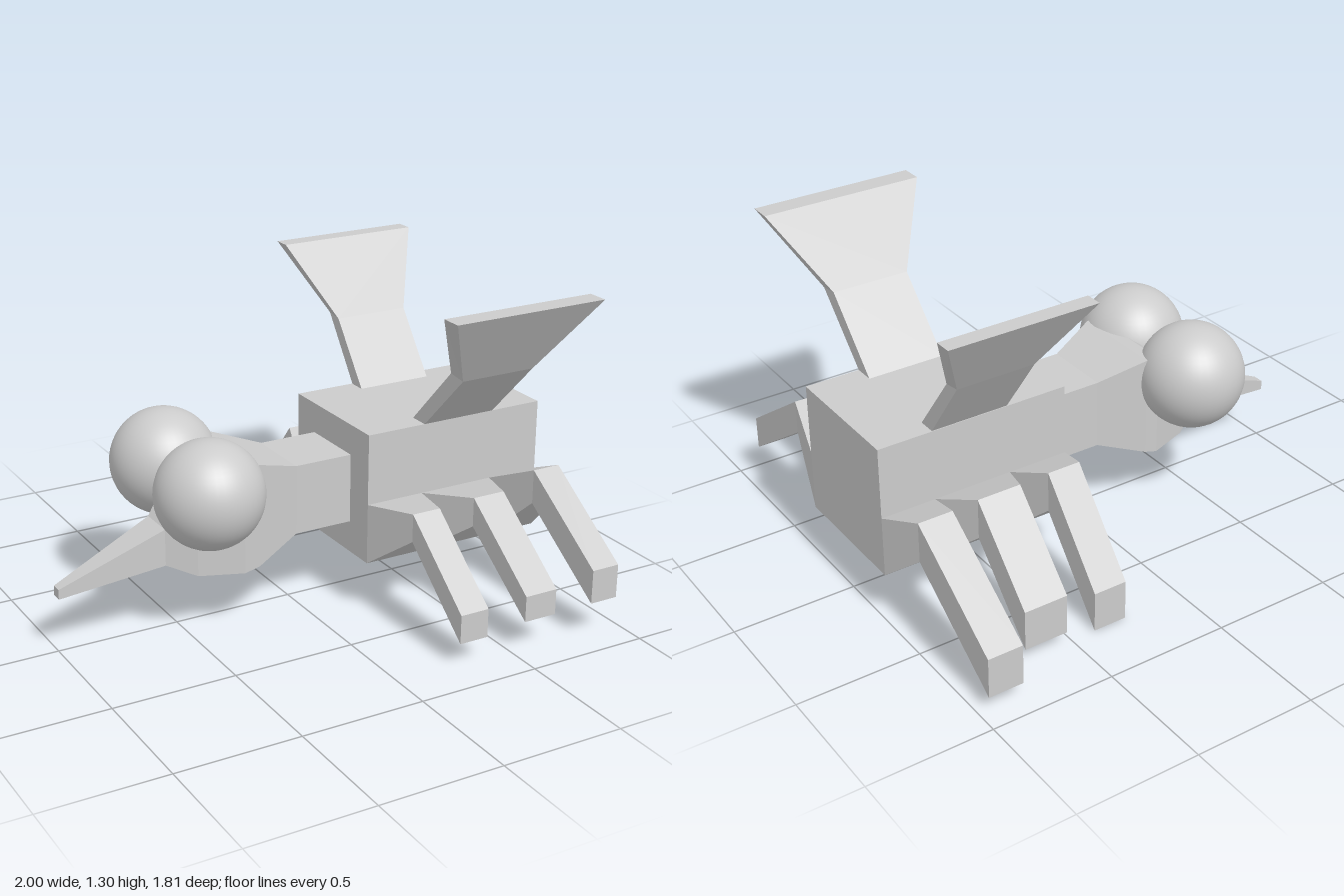
import * as THREE from 'three';

const flat = new THREE.MeshStandardMaterial({ color: 0xcccccc, flatShading: true });
const smooth = new THREE.MeshStandardMaterial({ color: 0xcccccc });

// Closed skin through a row of four-cornered sections, turned so faces point outward.
function loft(name, sections) {
  const tris = [];
  const quad = (a, b, c, d) => tris.push([a, b, c], [a, c, d]);
  for (let i = 0; i < sections.length - 1; i++) {
    const s = sections[i], t = sections[i + 1];
    for (let k = 0; k < 4; k++) {
      const n = (k + 1) % 4;
      quad(s[k], s[n], t[n], t[k]);
    }
  }
  const first = sections[0], last = sections[sections.length - 1];
  quad(first[3], first[2], first[1], first[0]);
  quad(last[0], last[1], last[2], last[3]);

  const v = (p) => new THREE.Vector3(...p);
  const centre = v(first[0]);
  let volume = 0;
  for (const [a, b, c] of tris) {
    volume += v(a).sub(centre).dot(v(b).sub(centre).cross(v(c).sub(centre)));
  }
  if (volume < 0) tris.forEach((t) => t.reverse());

  const geometry = new THREE.BufferGeometry();
  geometry.setAttribute('position', new THREE.Float32BufferAttribute(tris.flat(2), 3));
  geometry.computeVertexNormals();
  const mesh = new THREE.Mesh(geometry, flat);
  mesh.name = name;
  return mesh;
}

// Section facing along x, along z, and a wing section with an inner and outer edge.
const acrossX = (x, y0, y1, z0, z1) => [[x, y0, z0], [x, y1, z0], [x, y1, z1], [x, y0, z1]];
const acrossZ = (z, x0, x1, y0, y1) => [[x0, y0, z], [x1, y0, z], [x1, y1, z], [x0, y1, z]];
const wingCut = (x0, x1, yIn, zIn, yOut, zOut) =>
  [[x0, yIn, zIn], [x1, yIn, zIn], [x1, yOut, zOut], [x0, yOut, zOut]];

export function createModel() {
  const model = new THREE.Group();

  // Boxy body
  model.add(loft('body', [
    acrossX(0.2, 0.21, 0.75, -0.265, 0.283),
    acrossX(1.0, 0.21, 0.75, -0.265, 0.283),
  ]));

  // Neck and swelling head
  model.add(loft('neckAndHead', [
    acrossX(0.2, 0.34, 0.625, -0.135, 0.15),
    acrossX(-0.045, 0.34, 0.625, -0.135, 0.15),
    acrossX(-0.24, 0.27, 0.69, -0.195, 0.213),
    acrossX(-0.3, 0.25, 0.68, -0.19, 0.205),
    acrossX(-0.47, 0.25, 0.56, -0.13, 0.14),
    acrossX(-0.578, 0.295, 0.445, -0.07, 0.08),
  ]));

  // Tapering beak
  model.add(loft('beak', [
    acrossX(-0.578, 0.295, 0.445, -0.07, 0.08),
    acrossX(-1.0, 0.23, 0.27, -0.015, 0.03),
  ]));

  // Round eyes
  for (const [name, z] of [['leftEye', 0.163], ['rightEye', -0.236]]) {
    const eye = new THREE.Mesh(new THREE.SphereGeometry(0.215, 40, 28), smooth);
    eye.position.set(-0.428, 0.592, z);
    eye.name = name;
    model.add(eye);
  }

  // Flared wings rising from the back
  model.add(loft('leftWing', [
    wingCut(0.455, 0.775, 0.75, 0.2, 0.75, 0.283),
    wingCut(0.455, 0.775, 1.01, 0.45, 1.0, 0.53),
    wingCut(0.285, 0.945, 1.3, 0.64, 1.3, 0.727),
  ]));
  model.add(loft('rightWing', [
    wingCut(0.455, 0.775, 0.75, -0.19, 0.75, -0.262),
    wingCut(0.455, 0.775, 1.0, -0.38, 1.01, -0.45),
    wingCut(0.31, 0.915, 1.29, -0.57, 1.29, -0.64),
  ]));

  // Bent legs: a wide root on the body's side, a knee and a foot
  const roots = [[0.2, 0.45], [0.45, 0.775], [0.775, 1.0]];
  // Per leg: x range, knee (z, bottom, top), foot (z, bottom, top)
  const legs = {
    leftLeg: [
      [0.265, 0.387, 0.505, 0.375, 0.49, 0.847, 0.093, 0.21],
      [0.545, 0.685, 0.505, 0.38, 0.5, 0.868, 0.125, 0.23],
      [0.828, 0.948, 0.505, 0.42, 0.56, 0.905, 0.15, 0.288],
    ],
    rightLeg: [
      [0.258, 0.397, -0.445, 0.365, 0.53, -0.748, 0.0, 0.165],
      [0.523, 0.705, -0.45, 0.365, 0.53, -0.752, 0.05, 0.215],
      [0.815, 0.958, -0.458, 0.365, 0.53, -0.908, 0.055, 0.22],
    ],
  };
  for (const [name, set] of Object.entries(legs)) {
    const side = name === 'leftLeg' ? 0.283 : -0.265;
    set.forEach(([x0, x1, kneeZ, kneeLow, kneeHigh, footZ, footLow, footHigh], i) => {
      model.add(loft(`${name}${i + 1}`, [
        acrossZ(side, roots[i][0], roots[i][1], 0.21, 0.46),
        acrossZ(kneeZ, x0, x1, kneeLow, kneeHigh),
        acrossZ(footZ, x0, x1, footLow, footHigh),
      ]));
    });
  }

  return model;
}
